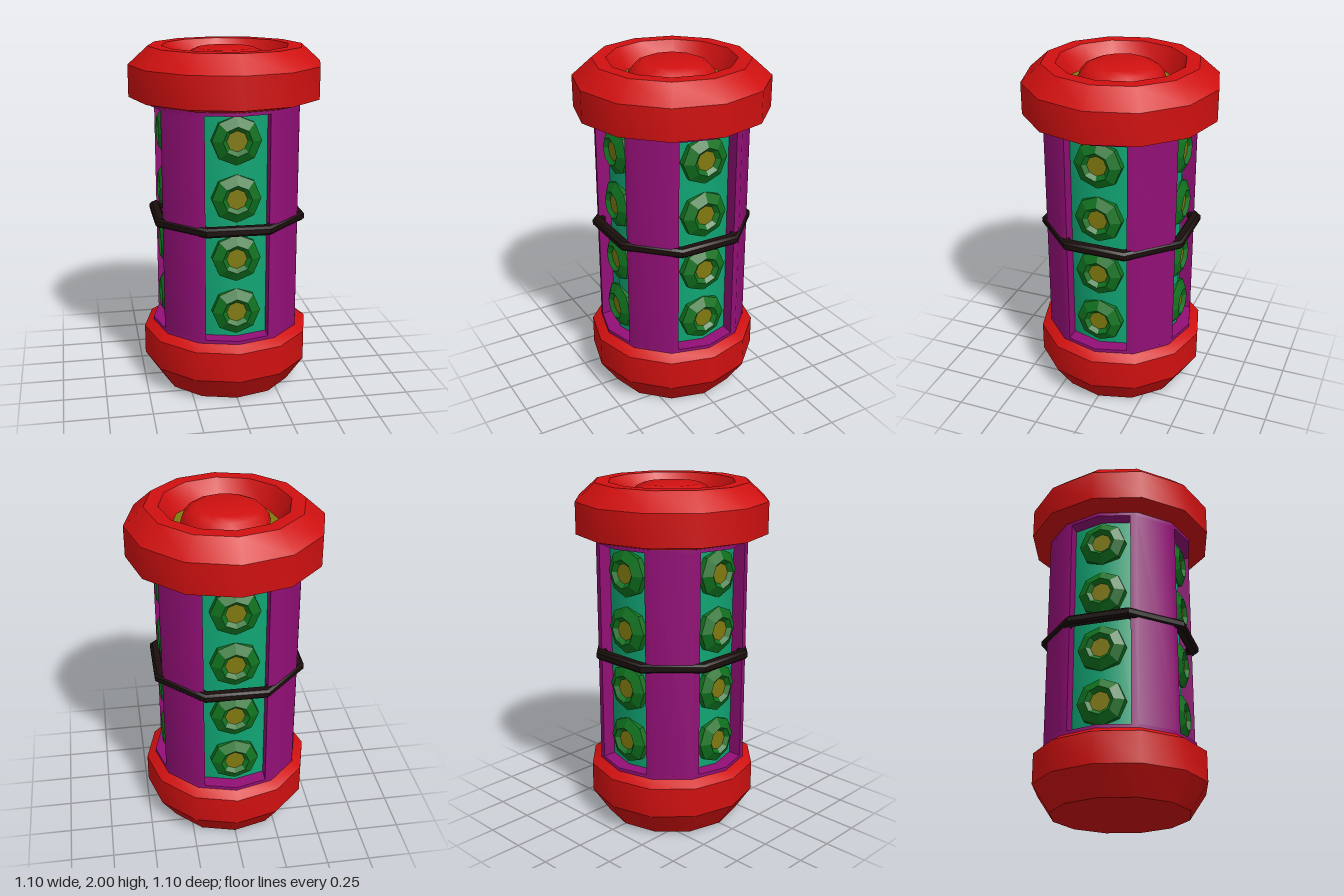
import * as THREE from 'three';
import { toCreasedNormals } from 'three/addons/utils/BufferGeometryUtils.js';

const mat = (color) => new THREE.MeshStandardMaterial({ color });
const RED = mat(0xd01010), PURPLE = mat(0x920f76), TEAL = mat(0x10a574);
const GREEN = mat(0x0f701e), OLIVE = mat(0x807a10), BLACK = mat(0x1a0f0c);

const CREASE = 0.56; // keeps profile edges sharp, smooths around the 12 sides

function mesh(name, geometry, material, crease = CREASE) {
  const m = new THREE.Mesh(toCreasedNormals(geometry, crease), material);
  m.name = name;
  return m;
}

// Turned part; the profile runs counter-clockwise as [radius, height]
function turned(name, profile, material, sides = 12, start = 0, crease = CREASE) {
  const pts = profile.map(([r, y]) => new THREE.Vector2(r, y));
  return mesh(name, new THREE.LatheGeometry(pts, sides, start), material, crease);
}

// Eight-sided lamp facing +z: bevelled collar with a sunken lens
function createLamp() {
  const lamp = new THREE.Group();
  lamp.name = 'lamp';
  lamp.add(
    turned('lampCollar', [[0.138, 0], [0.138, 0.06], [0.082, 0.092], [0.056, 0.068]], GREEN, 8, 0, 0.4),
    turned('lampLens', [[0.058, 0.07], [0, 0.07]], OLIVE, 8)
  );
  lamp.children.forEach((c) => c.geometry.rotateX(Math.PI / 2));
  return lamp;
}

export function createModel() {
  const model = new THREE.Group();
  model.name = 'canister';

  // End caps
  model.add(
    turned('bottomCap', [[0, 0], [0.395, 0], [0.495, 0.15], [0.495, 0.325], [0.44, 0.36], [0, 0.36]], RED),
    turned('topCap', [[0, 1.69], [0.44, 1.69], [0.552, 1.72], [0.552, 1.9], [0.44, 2],
      [0.362, 2], [0.29, 1.88]], RED),
    turned('recessFloor', [[0.295, 1.885], [0, 1.885]], OLIVE),
    turned('topKnob', [[0.25, 1.88], [0.24, 1.925], [0.205, 1.965], [0.16, 1.985], [0, 1.985]], RED, 12, 0, 0.8)
  );

  // Inner core and the rims of the casing
  model.add(turned('core', [[0.36, 0.35], [0.36, 1.7]], TEAL));
  for (const [name, y0, y1] of [['lowerRim', 0.34, 0.38], ['upperRim', 1.67, 1.71]]) {
    model.add(turned(name, [[0.34, y0], [0.44, y0], [0.44, y1], [0.34, y1]], PURPLE));
  }

  // Four corner posts between the windows
  const section = [[0.18, 0.3], [0.3, 0.18], [0.392, 0.18], [0.381, 0.22], [0.22, 0.381], [0.18, 0.392]];
  const postShape = new THREE.Shape(section.map(([x, y]) => new THREE.Vector2(x, y)));
  const postGeometry = new THREE.ExtrudeGeometry(postShape, { depth: 1.31, bevelEnabled: false });
  postGeometry.rotateX(-Math.PI / 2).translate(0, 0.37, 0);

  for (let i = 0; i < 4; i++) {
    const side = new THREE.Group();
    side.name = 'side' + (i + 1);
    side.rotation.y = (i * Math.PI) / 2;
    side.add(mesh('cornerPost', postGeometry, PURPLE));
    // Column of lamps in the window
    for (const y of [0.535, 0.855, 1.2, 1.525]) {
      const lamp = createLamp();
      lamp.position.set(0, y, 0.303);
      side.add(lamp);
    }
    model.add(side);
  }

  // Eight-sided band around the middle
  const k = 1 / Math.cos(Math.PI / 8);
  const band = [[0.385, 1.0], [0.42, 1.0], [0.433, 1.013], [0.433, 1.04], [0.42, 1.053], [0.385, 1.053],
    [0.375, 1.04], [0.375, 1.013], [0.385, 1.0]].map(([r, y]) => [r * k, y]);
  model.add(turned('middleBand', band, BLACK, 8, Math.PI / 8, 0.6));

  return model;
}
